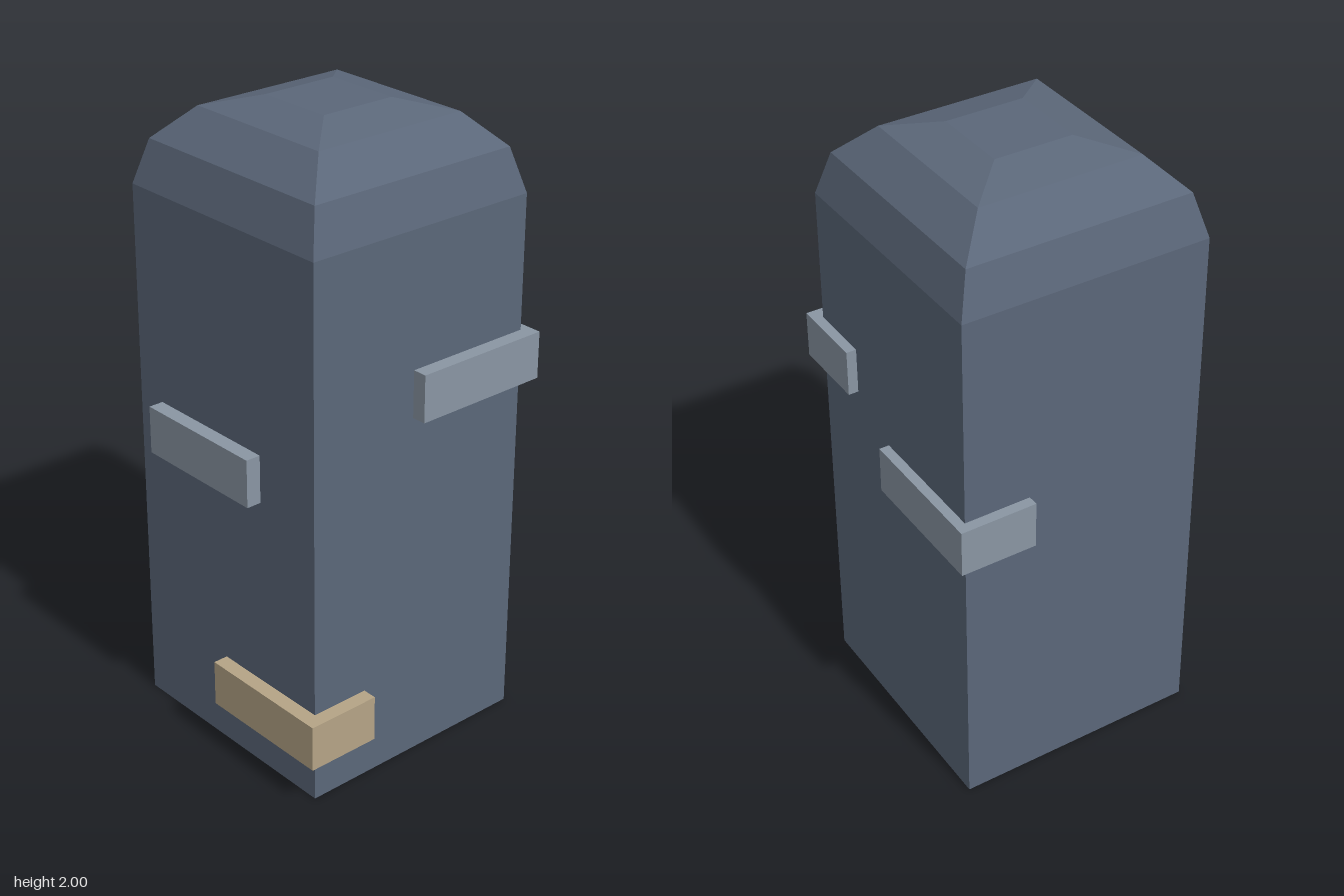
import * as THREE from 'three';

const slate = new THREE.MeshStandardMaterial({ color: 0x5b6779 });
slate.name = 'slate stone';
const paleGrey = new THREE.MeshStandardMaterial({ color: 0x8a96a3 });
paleGrey.name = 'pale grey stone';
const sand = new THREE.MeshStandardMaterial({ color: 0xb5a486 });
sand.name = 'sand stone';

// Square pillar with a faceted domed top: [half width, height] rings
function pillar() {
  const rings = [
    [0, 0], [0.4, 0], [0.4, 1.725], [0.362, 1.863],
    [0.262, 1.963], [0.125, 2], [0, 2],
  ];
  const points = rings.map(([half, y]) => new THREE.Vector2(half * Math.SQRT2, y));
  const geometry = new THREE.LatheGeometry(points, 4, Math.PI / 4).toNonIndexed();
  geometry.computeVertexNormals(); // flat facets
  const mesh = new THREE.Mesh(geometry, slate);
  mesh.name = 'pillar';
  mesh.position.set(0.008, 0, -0.006);
  return mesh;
}

// Brick set into the pillar, given by its limits on each axis
function brick(name, material, [x0, x1], [y0, y1], [z0, z1]) {
  const mesh = new THREE.Mesh(new THREE.BoxGeometry(x1 - x0, y1 - y0, z1 - z0), material);
  mesh.name = name;
  mesh.position.set((x0 + x1) / 2, (y0 + y1) / 2, (z0 + z1) / 2);
  return mesh;
}

export function createModel() {
  const model = new THREE.Group();
  model.name = 'stone pillar';
  model.add(
    pillar(),
    brick('frontLeftCornerBrick', paleGrey, [-0.02, 0.44], [1.15, 1.3], [0.193, 0.44]),
    brick('backLeftCornerBrick', paleGrey, [0.193, 0.44], [0.91, 1.063], [-0.44, 0.018]),
    brick('rightSideBrick', paleGrey, [-0.44, -0.197], [0.91, 1.063], [-0.302, 0.157]),
    brick('frontRightCornerBrick', sand, [-0.44, -0.197], [0.15, 0.3], [-0.02, 0.44]),
  );
  return model;
}
